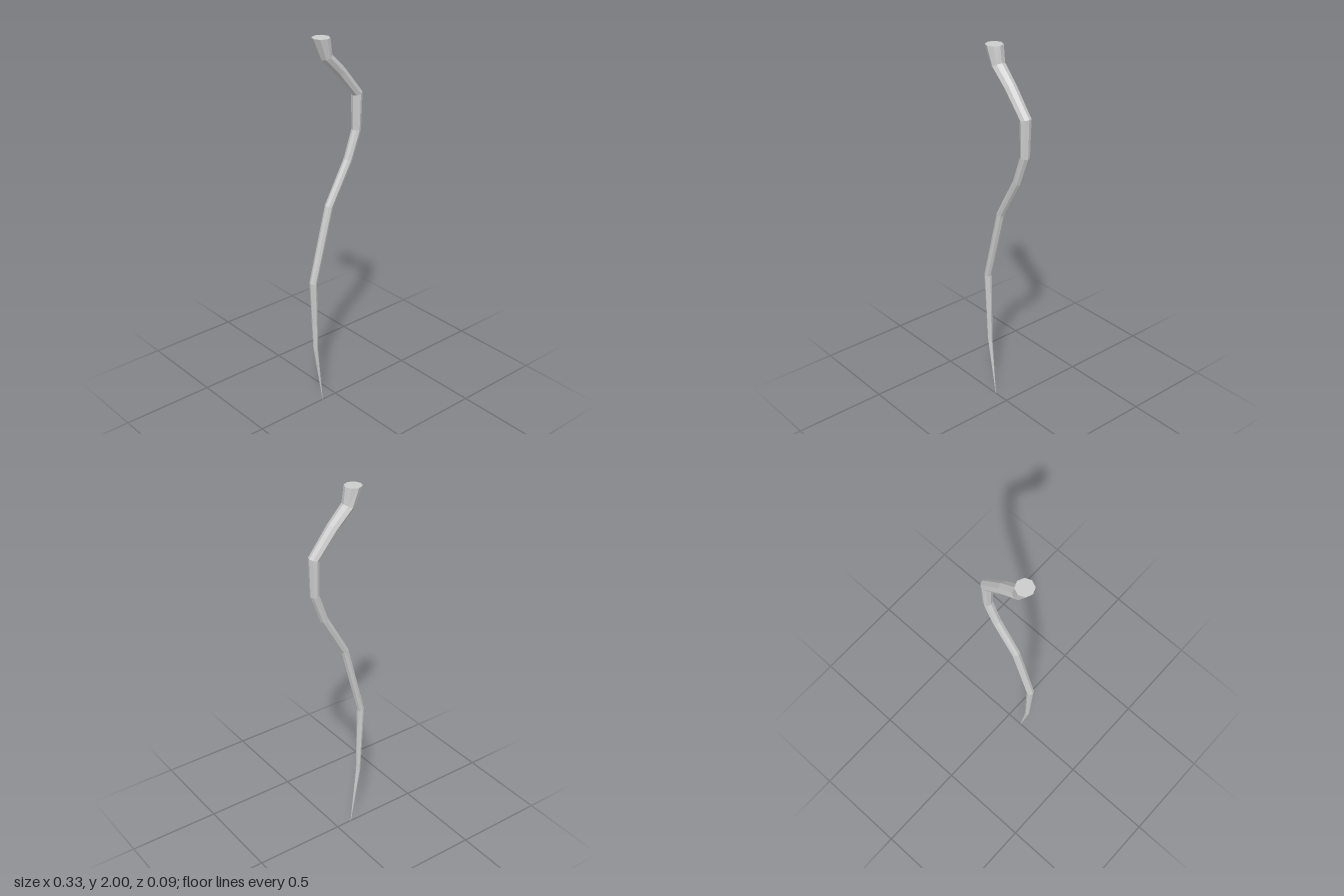
import * as THREE from 'three';

const SIDES = 8;

// Stations from tip to cut end: x, y, half-width in the bend plane, half-width along z
const STATIONS = [
  [-0.09, 0, 0.001, 0.001],
  [-0.136, 0.336, 0.012, 0.013],
  [-0.148, 0.733, 0.019, 0.021],
  [-0.042, 1.13, 0.021, 0.022],
  [0.082, 1.347, 0.022, 0.023],
  [0.136, 1.495, 0.023, 0.025],
  [0.138, 1.685, 0.028, 0.03],
  [0.029, 1.817, 0.029, 0.033],
  [-0.058, 1.904, 0.03, 0.037],
  [-0.088, 2, 0.045, 0.045],
];

// Octagonal ring set across the bisected direction of the path
function ringAt(i) {
  const [x, y, rx, rz] = STATIONS[i];
  const p = new THREE.Vector2(x, y);
  const last = STATIONS.length - 1;
  const dir = new THREE.Vector2();
  if (i > 0) dir.add(p.clone().sub(new THREE.Vector2(...STATIONS[i - 1].slice(0, 2))).normalize());
  if (i < last) dir.add(new THREE.Vector2(...STATIONS[i + 1].slice(0, 2)).sub(p).normalize());
  if (i === 0 || i === last) dir.set(0, 1); // level ends
  dir.normalize();
  const ring = [];
  for (let k = 0; k < SIDES; k++) {
    const a = (k / SIDES) * Math.PI * 2;
    const c = Math.cos(a) * rx;
    ring.push(x + dir.y * c, y - dir.x * c, Math.sin(a) * rz);
  }
  return ring;
}

function stemGeometry() {
  const positions = STATIONS.flatMap((_, i) => ringAt(i));
  const index = [];
  for (let i = 0; i < STATIONS.length - 1; i++) {
    for (let k = 0; k < SIDES; k++) {
      const a = i * SIDES + k;
      const b = i * SIDES + ((k + 1) % SIDES);
      index.push(a, a + SIDES, b, b, a + SIDES, b + SIDES);
    }
  }
  // Flat caps at the cut end and the tip
  const top = (STATIONS.length - 1) * SIDES;
  for (let k = 1; k < SIDES - 1; k++) {
    index.push(top, top + k + 1, top + k);
    index.push(0, k, k + 1);
  }
  const geometry = new THREE.BufferGeometry();
  geometry.setAttribute('position', new THREE.Float32BufferAttribute(positions, 3));
  geometry.setIndex(index);
  const flat = geometry.toNonIndexed();
  flat.computeVertexNormals();
  return flat;
}

export function createModel() {
  const group = new THREE.Group();
  group.name = 'taperedRoot';
  const material = new THREE.MeshStandardMaterial({ color: 0xcccccc, flatShading: true });
  const stem = new THREE.Mesh(stemGeometry(), material);
  stem.name = 'windingStem';
  group.add(stem);
  return group;
}
